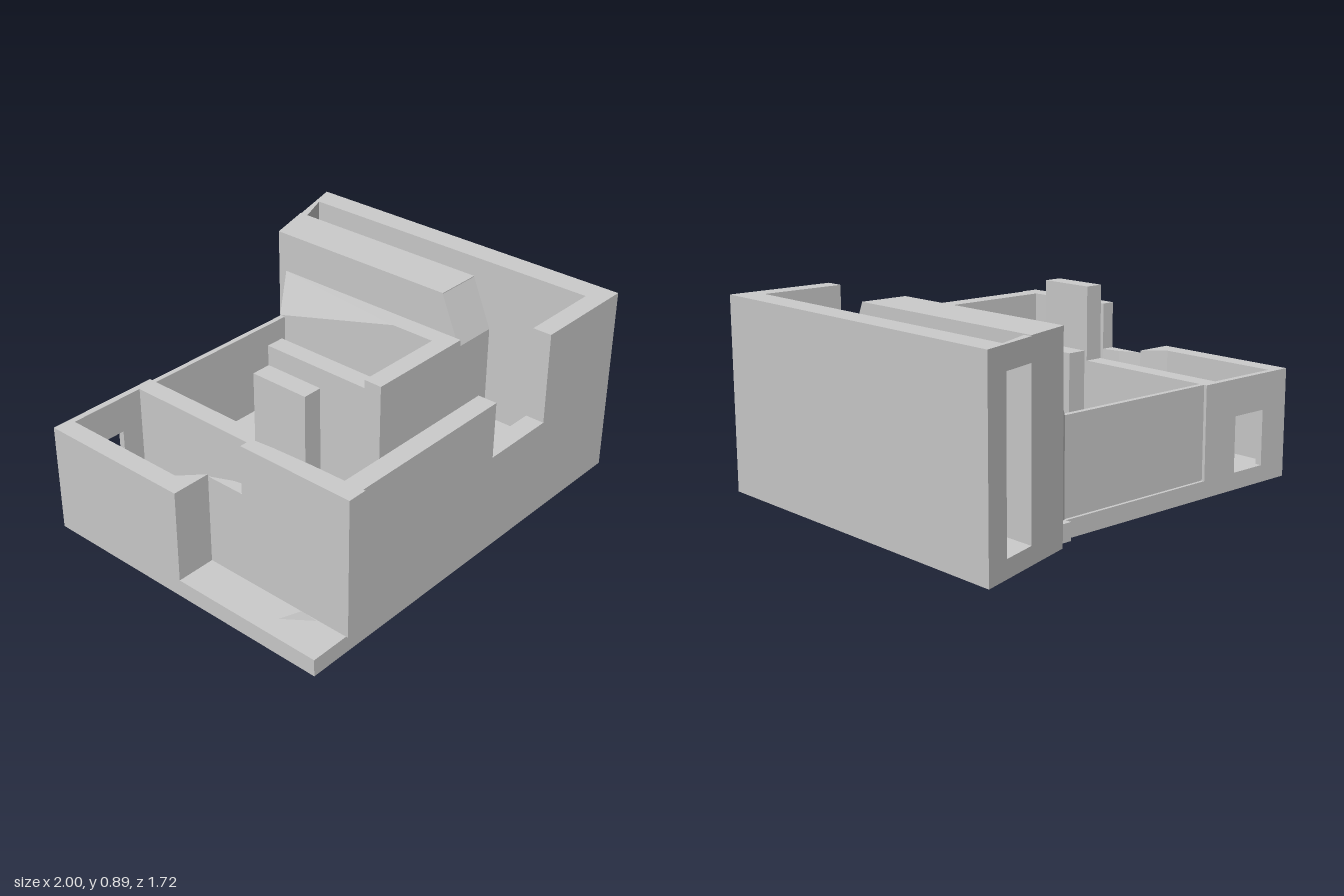
import * as THREE from 'three';
import { ConvexGeometry } from 'three/addons/geometries/ConvexGeometry.js';

const FLOOR = 0.08;
const LOW = 0.51;
const MID = 0.725;
const HIGH = 0.89;

export function createModel() {
  const group = new THREE.Group();
  const material = new THREE.MeshStandardMaterial({ color: 0xcccccc, flatShading: true });

  function add(name, geometry) {
    const mesh = new THREE.Mesh(geometry, material);
    mesh.name = name;
    group.add(mesh);
  }

  // Upright prism over a plan outline of [x, z] points
  function prism(name, plan, y0, y1) {
    const shape = new THREE.Shape(plan.map(([x, z]) => new THREE.Vector2(x, -z)));
    const geometry = new THREE.ExtrudeGeometry(shape, { depth: y1 - y0, bevelEnabled: false });
    geometry.rotateX(-Math.PI / 2).translate(0, y0, 0);
    add(name, geometry);
  }

  // Straight wall between two plan corners
  function wall(name, x0, x1, z0, z1, top, bottom = FLOOR) {
    const geometry = new THREE.BoxGeometry(x1 - x0, top - bottom, z1 - z0);
    geometry.translate((x0 + x1) / 2, (top + bottom) / 2, (z0 + z1) / 2);
    add(name, geometry);
  }

  function hull(name, points) {
    add(name, new ConvexGeometry(points.map((p) => new THREE.Vector3(...p))));
  }

  // Line of the slanted rear facade
  const rearZ = (x) => -0.705 - 0.3 * (x - 0.48);

  // Floor slab
  prism('floor', [
    [-1, 0.85], [1, 0.85], [1, rearZ(1)], [0.48, rearZ(0.48)], [0.48, -0.66],
    [0.39, -0.66], [0.39, -0.63], [-1, -0.63],
  ], 0, FLOOR);

  // Front wall with a low opening, and the tall side wall
  wall('frontWall', -0.73, 0.11, 0.76, 0.85, MID);
  wall('frontSill', 0.11, 0.48, 0.76, 0.85, 0.46);
  wall('frontWallTall', 0.48, 1, 0.76, 0.85, HIGH);
  prism('tallSideWall', [[0.88, 0.76], [1, 0.76], [1, rearZ(1)], [0.88, rearZ(0.88)]], FLOOR, HIGH);

  // Solid tall block beside the corridor, with a sloping front
  prism('tallBlock', [[0.48, 0.28], [0.71, 0.28], [0.71, rearZ(0.71)], [0.48, rearZ(0.48)]], FLOOR, HIGH + 0.004);
  hull('blockSlope', [0.48, 0.71].flatMap((x) => [
    [x, FLOOR, 0.28], [x, HIGH, 0.28], [x, 0.66, 0.38], [x, FLOOR, 0.38],
  ]));

  // Lintel above the rear corridor doorway
  prism('doorLintel', [
    [0.71, rearZ(0.71) + 0.04], [0.88, rearZ(0.88) + 0.02], [0.88, rearZ(0.88)], [0.71, rearZ(0.71)],
  ], 0.79, HIGH);

  // Tapered partition against the block, sloping down toward the rear
  prism('partition', [[0.39, 0.39], [0.48, 0.39], [0.48, 0.08], [0.39, 0.08]], FLOOR, 0.7);
  hull('taperedPartition', [
    [0.39, FLOOR, 0.08], [0.48, FLOOR, 0.08], [0.48, FLOOR, -0.66], [0.39, FLOOR, -0.62],
    [0.39, 0.7, 0.08], [0.48, 0.7, 0.08], [0.48, 0.7, -0.66], [0.39, LOW, -0.62],
  ]);

  // Central L-shaped partition
  wall('crossPartition', -0.07, 0.39, 0.3, 0.39, 0.7);
  wall('centrePartition', -0.07, 0.02, -0.26, 0.3, 0.66);

  // Small room partition ending in a tall pier
  wall('roomPartition', -0.54, -0.45, -0.63, 0.11, LOW);
  wall('tallPier', -0.54, -0.45, 0.11, 0.39, 0.86);

  // Rear walls, with a window cut into the small room
  wall('rearWall', -0.45, 0.39, -0.615, -0.59, LOW);
  wall('windowJamb', -1, -0.84, -0.63, -0.6, LOW);
  wall('windowJamb', -0.65, -0.54, -0.63, -0.6, LOW);
  wall('windowHead', -0.84, -0.65, -0.63, -0.6, LOW, 0.34);

  // Low side wall with its angled corner
  prism('sideWall', [[-1, 0.11], [-0.815, 0.11], [-0.91, 0.02], [-0.91, -0.6], [-1, -0.6]], FLOOR, LOW);

  // Curved wall: a low link, then the full-height length
  prism('curvedWallLink', [[-0.815, 0.3], [-0.75, 0.3], [-0.77, 0.21], [-0.815, 0.11]], FLOOR, 0.5);
  prism('curvedWall', [
    [-0.815, 0.86], [-0.725, 0.86], [-0.73, 0.6], [-0.74, 0.4], [-0.75, 0.3], [-0.815, 0.3],
  ], FLOOR, MID);

  // Small fragment on the terrace
  hull('terraceFragment', [
    [-0.91, FLOOR, 0.58], [-0.82, FLOOR, 0.66], [-0.82, FLOOR, 0.7], [-0.85, 0.12, 0.65],
  ]);

  return group;
}
